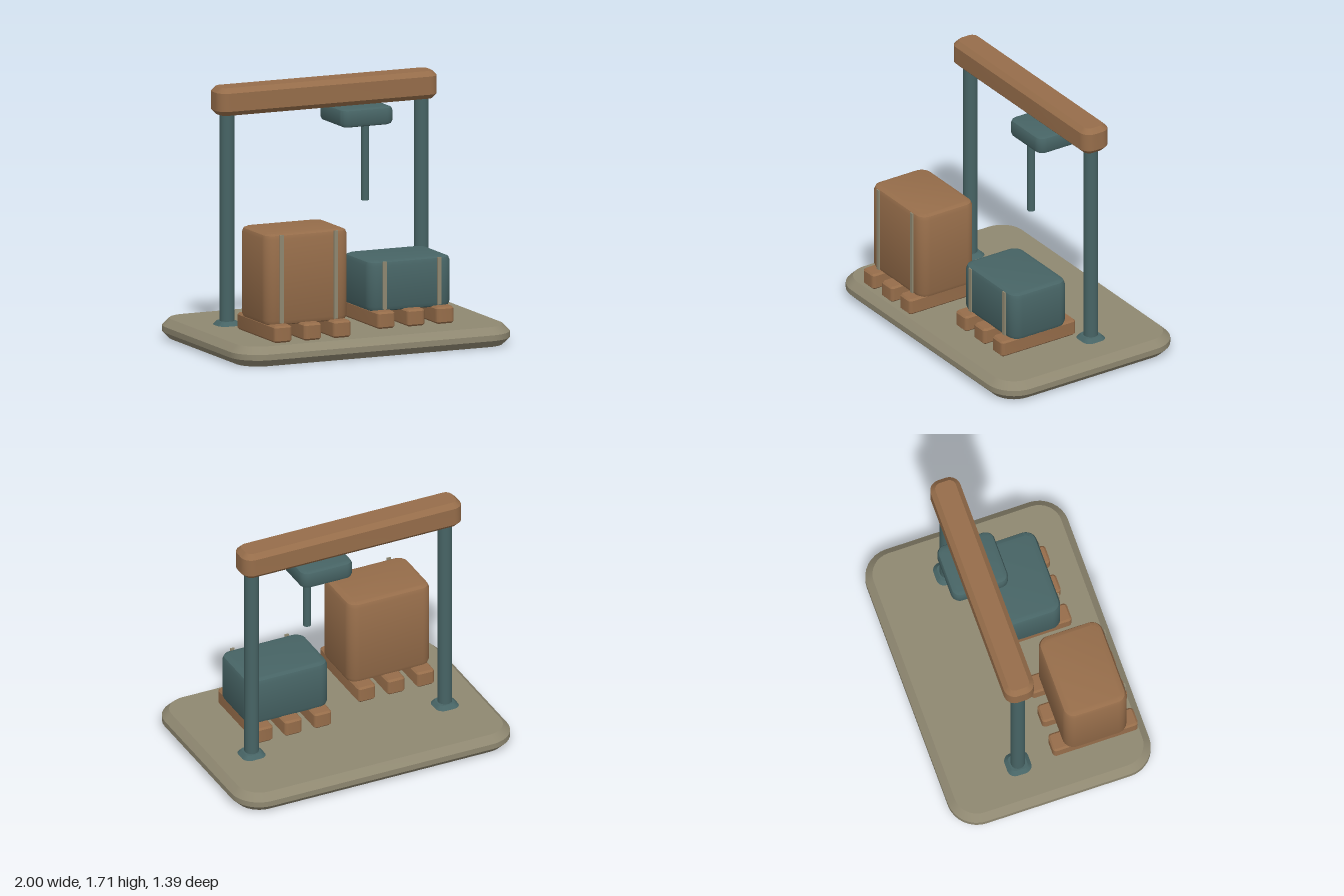
import * as THREE from 'three';
import { toCreasedNormals } from 'three/addons/utils/BufferGeometryUtils.js';

const mat = (name, color) => Object.assign(new THREE.MeshStandardMaterial({ color }), { name });

// Block with rounded upright corners and bevelled top and bottom, given by its extents
function block(name, material, [x0, x1], [y0, y1], [z0, z1], radius, bevel, bevelSegments = 1) {
  const w = (x1 - x0) / 2 - bevel, d = (z1 - z0) / 2 - bevel, r = radius - bevel;
  const shape = new THREE.Shape();
  shape.absarc(w - r, d - r, r, 0, Math.PI / 2);
  shape.absarc(r - w, d - r, r, Math.PI / 2, Math.PI);
  shape.absarc(r - w, r - d, r, Math.PI, Math.PI * 1.5);
  shape.absarc(w - r, r - d, r, Math.PI * 1.5, Math.PI * 2);
  const geometry = new THREE.ExtrudeGeometry(shape, {
    depth: y1 - y0 - 2 * bevel, bevelSize: bevel, bevelThickness: bevel, bevelSegments, curveSegments: 4,
  });
  geometry.rotateX(-Math.PI / 2);
  geometry.translate((x0 + x1) / 2, y0 + bevel, (z0 + z1) / 2);
  const mesh = new THREE.Mesh(toCreasedNormals(geometry, 0.7), material);
  mesh.name = name;
  return mesh;
}

function rod(name, material, radius, x, y0, y1, z) {
  const mesh = new THREE.Mesh(new THREE.CylinderGeometry(radius, radius, y1 - y0, 16), material);
  mesh.position.set(x, (y0 + y1) / 2, z);
  mesh.name = name;
  return mesh;
}

export function createModel() {
  const khaki = mat('khaki', 0x8f8871);
  const wood = mat('wood brown', 0x966d4a);
  const teal = mat('dark teal', 0x476465);
  const model = new THREE.Group();
  model.name = 'loadingGantry';

  // Ground slab
  model.add(block('base', khaki, [-1, 1], [0, 0.132], [-0.695, 0.695], 0.2, 0.047));

  // Gantry frame
  const gantry = new THREE.Group();
  gantry.name = 'gantry';
  for (const x of [-0.703, 0.7]) {
    gantry.add(rod('post', teal, 0.048, x, 0.08, 1.56, -0.178));
    gantry.add(block('postFoot', teal, [x - 0.083, x + 0.083], [0.09, 0.158], [-0.261, -0.095], 0.055, 0.027));
  }
  gantry.add(block('beam', wood, [-0.797, 0.792], [1.528, 1.712], [-0.282, -0.078], 0.075, 0.032));
  model.add(gantry);

  // Hoist hanging under the beam
  const hoist = new THREE.Group();
  hoist.name = 'hoist';
  hoist.add(block('trolley', teal, [0.037, 0.415], [1.405, 1.525], [-0.36, 0.03], 0.06, 0.028, 2));
  hoist.add(rod('hoistRod', teal, 0.026, 0.225, 0.91, 1.43, -0.03));
  model.add(hoist);

  // Two strapped loads, each on three runners
  const loads = [
    { name: 'tallLoad', material: wood, x: [-0.77, -0.167], top: 0.85, z: [0.134, 0.57],
      runners: [-0.682, -0.468, -0.256], runnerZ: [0.055, 0.643], straps: [-0.664, -0.273] },
    { name: 'lowLoad', material: teal, x: [0.055, 0.657], top: 0.58, z: [-0.038, 0.402],
      runners: [0.144, 0.358, 0.569], runnerZ: [-0.11, 0.473], straps: [0.16, 0.554] },
  ];
  for (const l of loads) {
    const load = new THREE.Group();
    load.name = l.name;
    load.add(block('crate', l.material, l.x, [0.243, l.top], l.z, 0.075, 0.035, 2));
    for (const x of l.runners) {
      load.add(block('palletRunner', wood, [x - 0.064, x + 0.064], [0.145, 0.256], l.runnerZ, 0.025, 0.012));
    }
    for (const x of l.straps) {
      const height = l.top - 0.265;
      const strap = new THREE.Mesh(new THREE.BoxGeometry(0.028, height, 0.009), khaki);
      strap.position.set(x, 0.262 + height / 2, l.z[1] + 0.0045);
      strap.name = 'strap';
      load.add(strap);
    }
    model.add(load);
  }
  return model;
}
